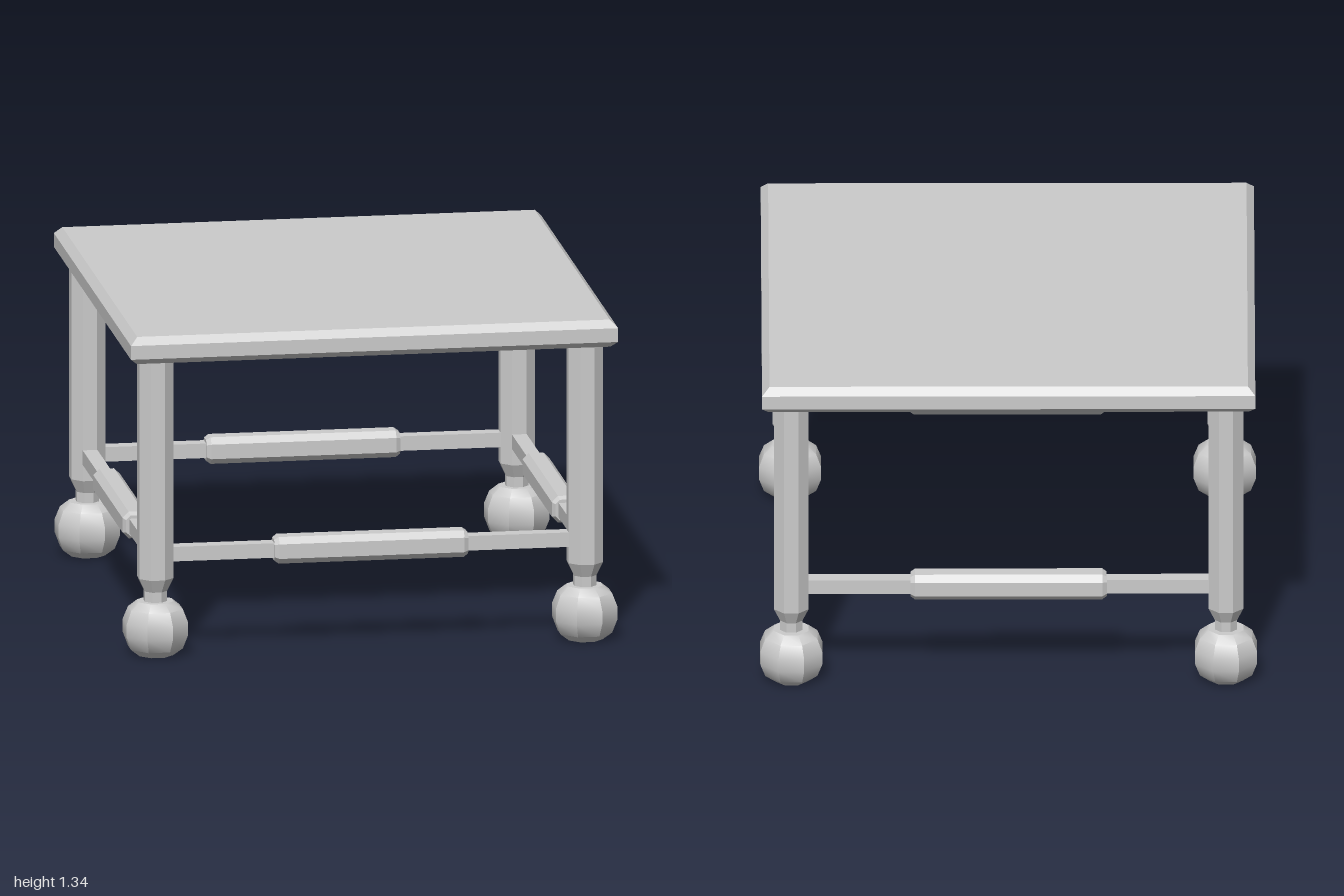
import * as THREE from 'three';
import { toCreasedNormals } from 'three/addons/utils/BufferGeometryUtils.js';

const smooth = new THREE.MeshStandardMaterial({ color: 0xcccccc });
const flat = new THREE.MeshStandardMaterial({ color: 0xcccccc, flatShading: true });

// Faceted turning: profile of [half width across flats, y], n sides, flats facing the axes.
function turned(n, profile) {
  const k = 1 / Math.cos(Math.PI / n);
  const points = profile.map(([r, y]) => new THREE.Vector2(r * k, y));
  return new THREE.LatheGeometry(points, n, Math.PI / n);
}

function add(parent, name, geometry, material = flat) {
  const mesh = new THREE.Mesh(geometry, material);
  mesh.name = name;
  parent.add(mesh);
  return mesh;
}

// Chamfered-square bar along x with bevelled ends.
function sleeveGeometry(length, half, flatHalf, bevel, bevelLength) {
  const h = half - bevel, f = flatHalf - bevel * 0.41;
  const shape = new THREE.Shape([
    [h, -f], [h, f], [f, h], [-f, h], [-h, f], [-h, -f], [-f, -h], [f, -h],
  ].map(([x, y]) => new THREE.Vector2(x, y)));
  const depth = length - 2 * bevelLength;
  const geometry = new THREE.ExtrudeGeometry(shape, {
    depth, bevelEnabled: true, bevelSize: bevel, bevelThickness: bevelLength, bevelSegments: 1,
  });
  return geometry.translate(0, 0, -depth / 2).rotateY(Math.PI / 2);
}

export function createModel() {
  const table = new THREE.Group();
  table.name = 'table';
  const inset = 0.875, railY = 0.418;

  // Square top with bevelled upper and lower edges
  add(table, 'tableTop', turned(4, [
    [0, 1.225], [0.965, 1.225], [0.993, 1.25], [0.993, 1.307], [0.963, 1.337], [0, 1.337],
  ]));

  // Octagonal legs tapering to a neck, on faceted ball feet
  const legGeometry = turned(8, [
    [0, 0.21], [0.045, 0.21], [0.045, 0.265], [0.07, 0.32], [0.07, 1.23], [0, 1.23],
  ]);
  const footGeometry = toCreasedNormals(turned(8, [
    [0, 0], [0.068, 0], [0.105, 0.03], [0.125, 0.085],
    [0.125, 0.14], [0.105, 0.193], [0.07, 0.223], [0, 0.223],
  ]), THREE.MathUtils.degToRad(35));
  for (const x of [-inset, inset]) {
    for (const z of [-inset, inset]) {
      const leg = new THREE.Group();
      leg.name = 'leg';
      leg.position.set(x, 0, z);
      add(leg, 'legPost', legGeometry);
      add(leg, 'ballFoot', footGeometry, smooth);
      table.add(leg);
    }
  }

  // Four stretchers, each a square rod with a thicker sleeve at mid-length
  const rodGeometry = new THREE.BoxGeometry(2 * inset - 0.1, 0.06, 0.06);
  const sleeve = sleeveGeometry(0.79, 0.055, 0.03, 0.012, 0.018);
  for (let i = 0; i < 4; i++) {
    const stretcher = new THREE.Group();
    stretcher.name = 'stretcher';
    stretcher.rotation.y = i * Math.PI / 2;
    add(stretcher, 'stretcherRod', rodGeometry).position.set(0, railY, inset);
    add(stretcher, 'stretcherSleeve', sleeve).position.set(0, railY, inset);
    table.add(stretcher);
  }
  return table;
}
